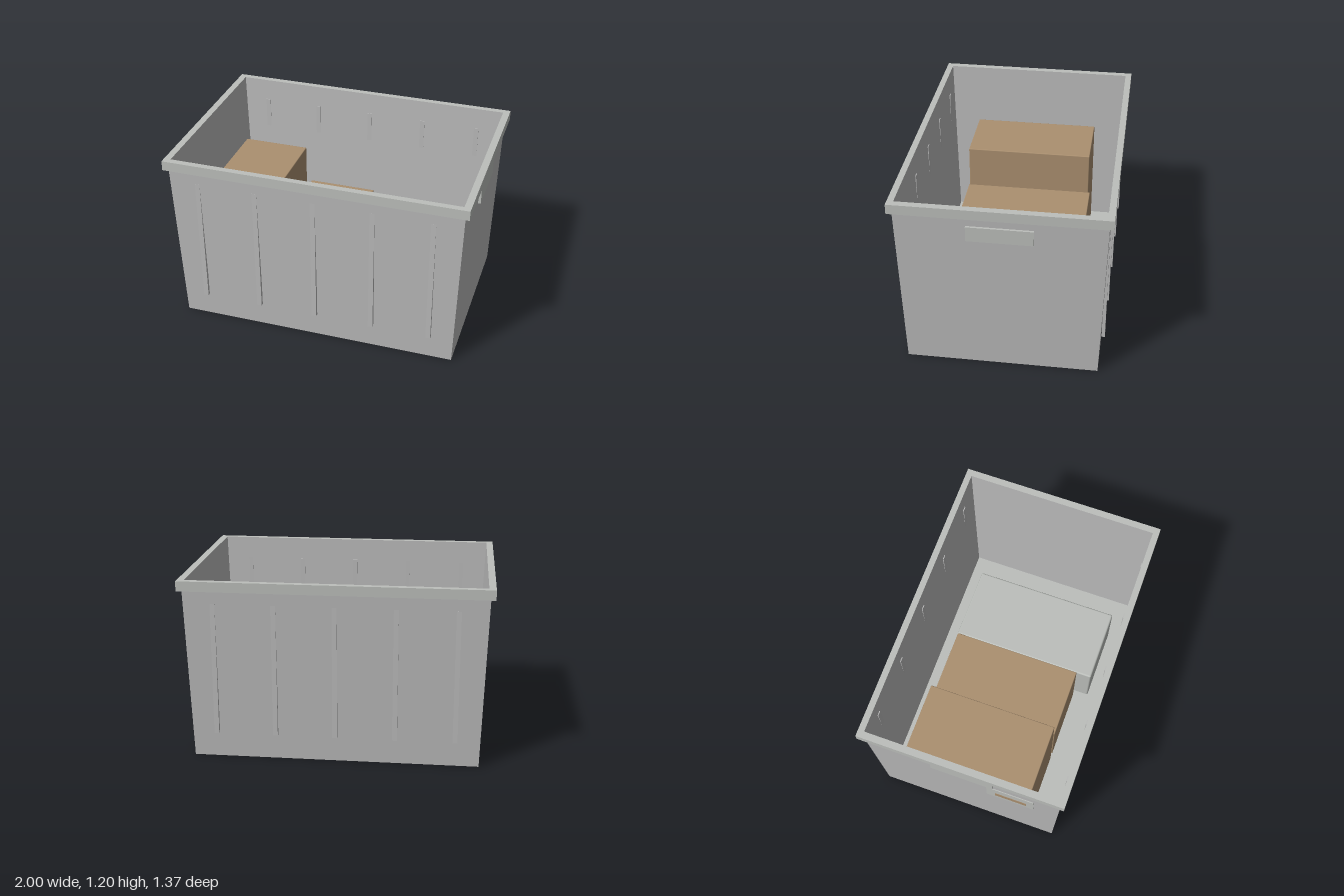
import * as THREE from 'three';
import { RoundedBoxGeometry } from 'three/addons/geometries/RoundedBoxGeometry.js';

const mat = (name, color) => {
  const m = new THREE.MeshStandardMaterial({ color });
  m.name = name;
  return m;
};

// Flat-faced surface through a run of rectangular rings [halfX, halfZ, y]
function loftRings(rings) {
  const corners = [[1, 1], [1, -1], [-1, -1], [-1, 1]];
  const at = (r, c) => [r[0] * c[0], r[2], r[1] * c[1]];
  const pos = [];
  for (let k = 0; k + 1 < rings.length; k++) {
    for (let i = 0; i < 4; i++) {
      const c0 = corners[i], c1 = corners[(i + 1) % 4];
      const a = at(rings[k], c0), b = at(rings[k], c1);
      const c = at(rings[k + 1], c1), d = at(rings[k + 1], c0);
      if (rings[k][0] > 0) pos.push(...a, ...b, ...c);
      if (rings[k + 1][0] > 0) pos.push(...a, ...c, ...d);
      else if (rings[k][0] > 0 && rings[k + 1][0] === 0) continue;
    }
  }
  const g = new THREE.BufferGeometry();
  g.setAttribute('position', new THREE.Float32BufferAttribute(pos, 3));
  g.computeVertexNormals();
  return g;
}

export function createModel() {
  const model = new THREE.Group();
  model.name = 'storageBin';
  const body = mat('binGrey', 0xbababa);
  const trim = mat('trimGrey', 0xbcbfbb);
  const card = mat('cardboard', 0xab9070);

  const add = (name, geometry, material, x = 0, y = 0, z = 0) => {
    const m = new THREE.Mesh(geometry, material);
    m.name = name;
    m.position.set(x, y, z);
    model.add(m);
    return m;
  };
  // Box given by its minimum and maximum on each axis
  const addBox = (name, material, [x0, x1], [y0, y1], [z0, z1], radius = 0) => {
    const s = [x1 - x0, y1 - y0, z1 - z0];
    const g = radius ? new RoundedBoxGeometry(...s, 2, radius) : new THREE.BoxGeometry(...s);
    return add(name, g, material, (x0 + x1) / 2, (y0 + y1) / 2, (z0 + z1) / 2);
  };

  // Tapered shell: underside, outer walls, then inner walls down to the floor
  add('outerShell', loftRings([[0, 0, 0], [0.935, 0.622, 0], [0.97, 0.655, 1.14]]), body);
  add('innerWalls', loftRings([[0.955, 0.642, 1.2], [0.915, 0.61, 0.03]]), body);
  add('floor', loftRings([[0.915, 0.61, 0.03], [0, 0, 0.03]]), trim);

  // Overhanging rim
  add('rim', loftRings([
    [0.96, 0.645, 1.135], [1, 0.683, 1.135], [1, 0.683, 1.2], [0.955, 0.642, 1.2],
  ]), trim);

  // Upright ribs, passing through the long walls
  for (const side of [-1, 1]) {
    for (let i = -2; i <= 2; i++) {
      add('rib', new THREE.BoxGeometry(0.032, 0.88, 0.021), body, i * 0.389, 0.61, side * 0.6425);
    }
  }

  // Handle grips on the short walls
  for (const side of [-1, 1]) {
    add('handle', new THREE.BoxGeometry(0.018, 0.1, 0.415), trim, side * 0.974, 1.02, 0);
  }

  // Label holder with its card on the right wall
  addBox('labelHolder', trim, [-0.968, -0.959], [0.72, 0.9], [0.16, 0.48]);
  addBox('labelCard', card, [-0.97, -0.966], [0.765, 0.82], [0.22, 0.43]);

  // Packed boxes inside
  addBox('tallCarton', card, [-0.88, -0.418], [0.03, 0.807], [-0.435, 0.437], 0.006);
  addBox('lowCarton', card, [-0.386, 0.092], [0.03, 0.53], [-0.45, 0.437], 0.006);
  addBox('greyContainer', trim, [0.125, 0.632], [0.03, 0.43], [-0.47, 0.537], 0.012);

  return model;
}
